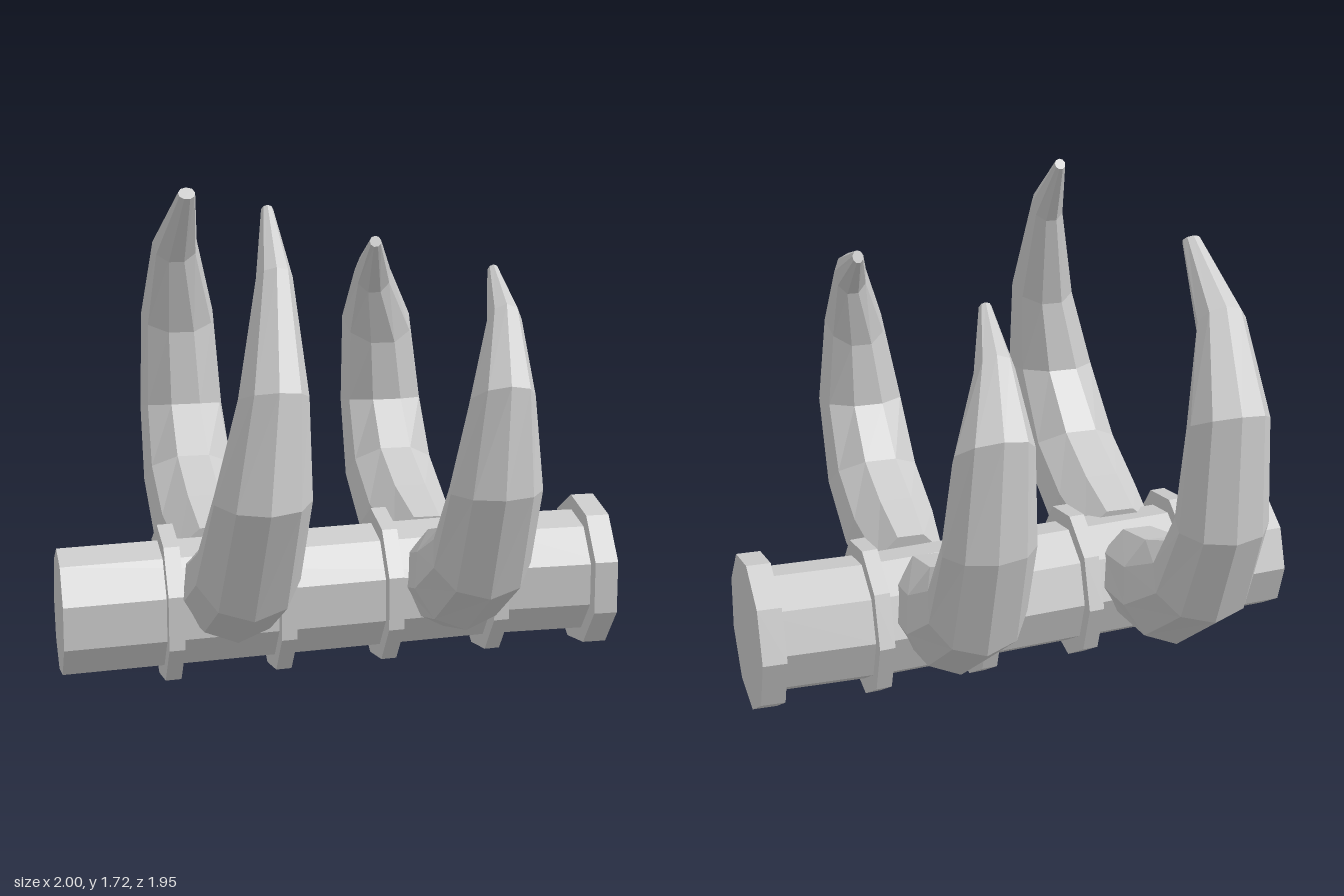
import * as THREE from 'three';

const SIDES = 9;
const material = new THREE.MeshStandardMaterial({ color: 0xcccccc, flatShading: true });

// Skins a row of nine-sided cross-sections { c, u, v } (centre and two half axes) and caps both ends
function loft(name, sections) {
  const rings = sections.map(({ c, u, v }) =>
    Array.from({ length: SIDES }, (_, j) => {
      const t = (j / SIDES) * Math.PI * 2;
      return c.clone().addScaledVector(u, Math.cos(t)).addScaledVector(v, Math.sin(t));
    }));
  const points = [];
  const last = rings.length - 1;
  for (let j = 0; j < SIDES; j++) {
    const k = (j + 1) % SIDES;
    for (let i = 0; i < last; i++) {
      const [a, b, c, d] = [rings[i][j], rings[i][k], rings[i + 1][k], rings[i + 1][j]];
      points.push(a, b, c, a, c, d);
    }
    points.push(sections[0].c, rings[0][k], rings[0][j]);
    points.push(sections[last].c, rings[last][j], rings[last][k]);
  }
  const geometry = new THREE.BufferGeometry().setFromPoints(points);
  geometry.computeVertexNormals();
  const mesh = new THREE.Mesh(geometry, material);
  mesh.name = name;
  return mesh;
}

// The spine drifts back in a straight line, then runs level
const spineZ = (x) => (x < 0.58 ? -0.035 - 0.1 * x : -0.095);

function spinePart(name, xs, radius) {
  return loft(name, xs.map((x) => ({
    c: new THREE.Vector3(x, 0.276, spineZ(x)),
    u: new THREE.Vector3(0, 0, -radius),
    v: new THREE.Vector3(0, radius, 0),
  })));
}

// Rib stations: [outer z, outer y, inner z, inner y, x, half width]; side is 1 for front, -1 for back
function rib(name, side, stations) {
  return loft(name, stations.map(([oz, oy, iz, iy, x, w]) => ({
    c: new THREE.Vector3(x, (oy + iy) / 2, (side * (oz + iz)) / 2),
    u: new THREE.Vector3(0, (oy - iy) / 2, (side * (oz - iz)) / 2),
    v: new THREE.Vector3(side * w, 0, 0),
  })));
}

export function createModel() {
  const model = new THREE.Group();

  // Spine with raised collars and a thick end disc
  model.add(spinePart('spine', [-1, 0.58, 0.98], 0.222));
  for (const x of [-0.615, -0.217, 0.173, 0.567]) {
    model.add(spinePart('collar', [x - 0.028, x + 0.028], 0.277));
  }
  model.add(spinePart('endDisc', [0.915, 1], 0.277));

  // Curved ribs, from the spine up to the tip
  model.add(rib('rightFrontRib', 1, [
    [0.10, 0.17, 0.05, 0.51, -0.425, 0.15],
    [0.42, 0.24, 0.25, 0.57, -0.425, 0.175],
    [0.765, 0.42, 0.48, 0.66, -0.425, 0.175],
    [0.975, 0.82, 0.64, 0.85, -0.405, 0.16],
    [0.927, 1.20, 0.67, 1.11, -0.368, 0.115],
    [0.70, 1.555, 0.59, 1.46, -0.335, 0.06],
    [0.478, 1.725, 0.455, 1.69, -0.325, 0.02],
  ]));
  model.add(rib('rightBackRib', -1, [
    [0.15, 0.17, 0.12, 0.51, -0.425, 0.15],
    [0.53, 0.225, 0.36, 0.57, -0.425, 0.175],
    [0.85, 0.45, 0.60, 0.66, -0.43, 0.175],
    [0.978, 0.78, 0.72, 0.83, -0.44, 0.16],
    [0.96, 1.21, 0.74, 1.10, -0.45, 0.14],
    [0.745, 1.51, 0.66, 1.38, -0.475, 0.085],
    [0.495, 1.68, 0.46, 1.64, -0.458, 0.032],
  ]));
  model.add(rib('leftFrontRib', 1, [
    [0.10, 0.15, 0.05, 0.51, 0.37, 0.14],
    [0.42, 0.235, 0.25, 0.57, 0.37, 0.17],
    [0.71, 0.43, 0.45, 0.645, 0.373, 0.17],
    [0.85, 0.80, 0.59, 0.81, 0.38, 0.158],
    [0.83, 1.17, 0.60, 1.04, 0.398, 0.11],
    [0.61, 1.40, 0.545, 1.26, 0.44, 0.06],
    [0.328, 1.488, 0.312, 1.445, 0.472, 0.02],
  ]));
  model.add(rib('leftBackRib', -1, [
    [0.15, 0.15, 0.12, 0.51, 0.36, 0.14],
    [0.53, 0.225, 0.36, 0.57, 0.355, 0.17],
    [0.82, 0.43, 0.58, 0.66, 0.35, 0.17],
    [0.922, 0.79, 0.70, 0.82, 0.342, 0.16],
    [0.92, 1.20, 0.685, 1.04, 0.322, 0.135],
    [0.675, 1.40, 0.61, 1.25, 0.27, 0.07],
    [0.423, 1.495, 0.408, 1.455, 0.23, 0.022],
  ]));

  return model;
}
